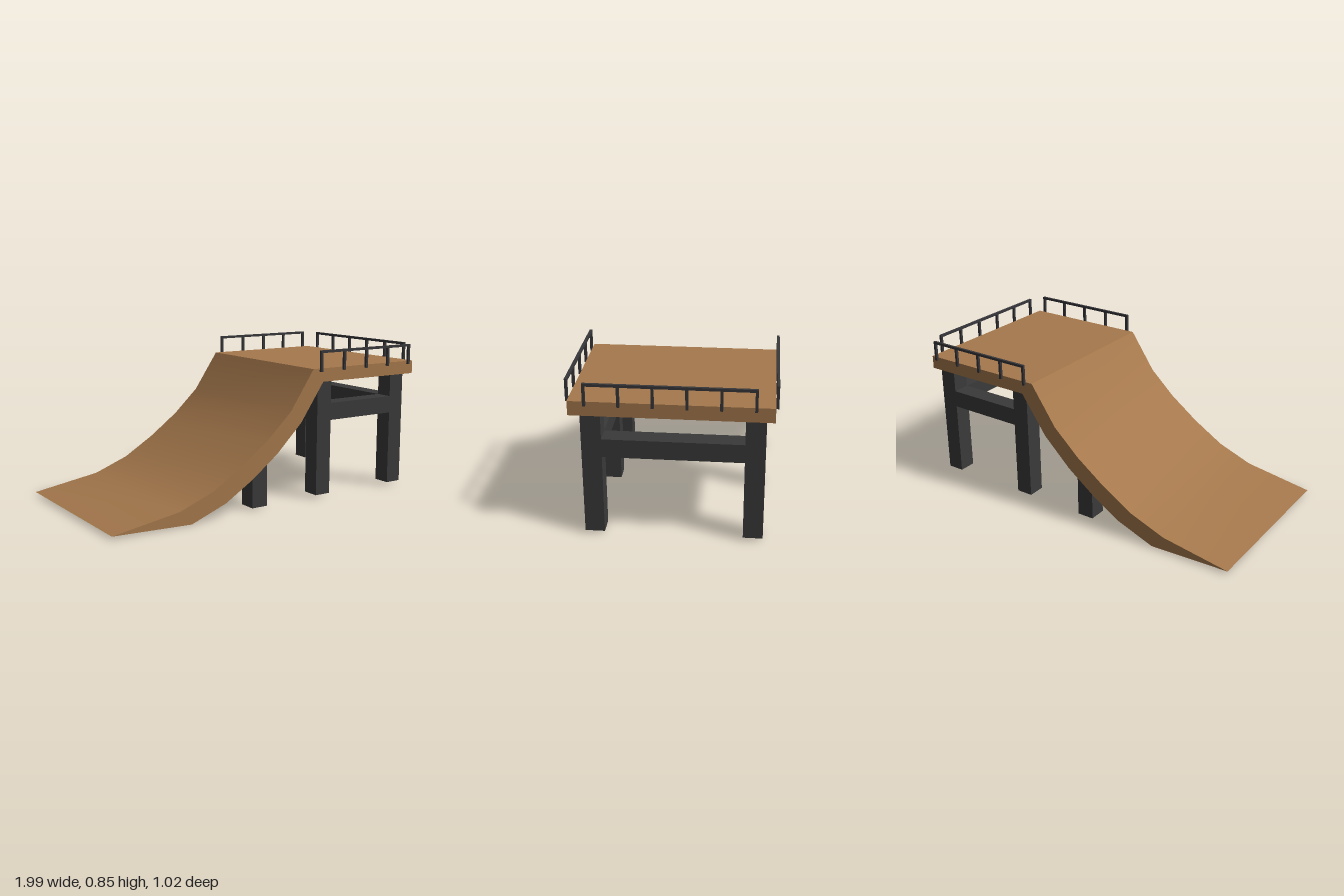
import * as THREE from 'three';
import { toCreasedNormals } from 'three/addons/utils/BufferGeometryUtils.js';

export function createModel() {
  const group = new THREE.Group();
  const wood = new THREE.MeshStandardMaterial({ color: 0xa5784c });
  wood.name = 'wood';
  const steel = new THREE.MeshStandardMaterial({ color: 0x3a3a3a });
  steel.name = 'darkSteel';
  const railPaint = new THREE.MeshStandardMaterial({ color: 0x37363a });
  railPaint.name = 'railPaint';

  const add = (name, geometry, material, parent = group) => {
    const mesh = new THREE.Mesh(geometry, material);
    mesh.name = name;
    parent.add(mesh);
    return mesh;
  };

  // Box given by its minimum and maximum corners
  const box = (name, [x0, y0, z0], [x1, y1, z1], material, parent) =>
    add(name, new THREE.BoxGeometry(x1 - x0, y1 - y0, z1 - z0), material, parent)
      .position.set((x0 + x1) / 2, (y0 + y1) / 2, (z0 + z1) / 2);

  // Side profile extruded along z between z0 and z1
  const slab = (points, z0, z1) => {
    const shape = new THREE.Shape(points.map(([x, y]) => new THREE.Vector2(x, y)));
    return new THREE.ExtrudeGeometry(shape, { depth: z1 - z0, bevelEnabled: false })
      .translate(0, 0, z0);
  };

  // Curved ramp and platform in one profile, smooth along the curve only
  const under = [[-0.54, 0], [-0.33, 0.08], [-0.16, 0.185], [0, 0.305], [0.16, 0.46], [0.31, 0.675]];
  const over = [[0.24, 0.75], [0.09, 0.53], [-0.06, 0.39], [-0.23, 0.265], [-0.41, 0.155], [-0.61, 0.078]];
  const profile = [[-0.995, 0.015], ...under, [0.98, 0.675], [0.98, 0.75], ...over];
  add('rampDeck', toCreasedNormals(slab(profile, -0.497, 0.497), 0.3), wood);

  // Platform legs and short ramp props
  const legX = [[0.315, 0.412], [0.86, 0.957]];
  const legZ = [[-0.457, -0.357], [0.343, 0.443]];
  for (const [z0, z1] of legZ) {
    for (const [x0, x1] of legX) box('platformLeg', [x0, 0.015, z0], [x1, 0.677, z1], steel);
    const prop = [[-0.125, 0.007], [-0.028, 0.007], [-0.028, 0.288], [-0.125, 0.215]];
    add('rampProp', slab(prop, z0, z1), steel);
    // Cross beams along x
    box('sideBeam', [0.412, 0.442, z0], [0.86, 0.54, z1], steel);
  }
  // Cross beams along z
  for (const [x0, x1] of legX) box('crossBeam', [x0, 0.442, -0.357], [x1, 0.54, 0.343], steel);

  // Guard rail running along local x, centred on its own origin
  const guardRail = (name, length, posts) => {
    const rail = new THREE.Group();
    rail.name = name;
    const h = 0.007;
    box('handrail', [-length / 2, 0.836, -h], [length / 2, 0.85, h], railPaint, rail);
    for (let i = 0; i < posts; i++) {
      const x = (i / (posts - 1) - 0.5) * (length - 2 * h);
      box('railPost', [x - h, 0.733, -h], [x + h, 0.837, h], railPaint, rail);
    }
    group.add(rail);
    return rail;
  };
  for (const side of [-1, 1]) {
    guardRail('sideRail', 0.664, 5).position.set(0.615, 0, side * 0.504);
  }
  const endRail = guardRail('endRail', 0.832, 6);
  endRail.position.set(0.99, 0, 0.003);
  endRail.rotation.y = Math.PI / 2;

  return group;
}
